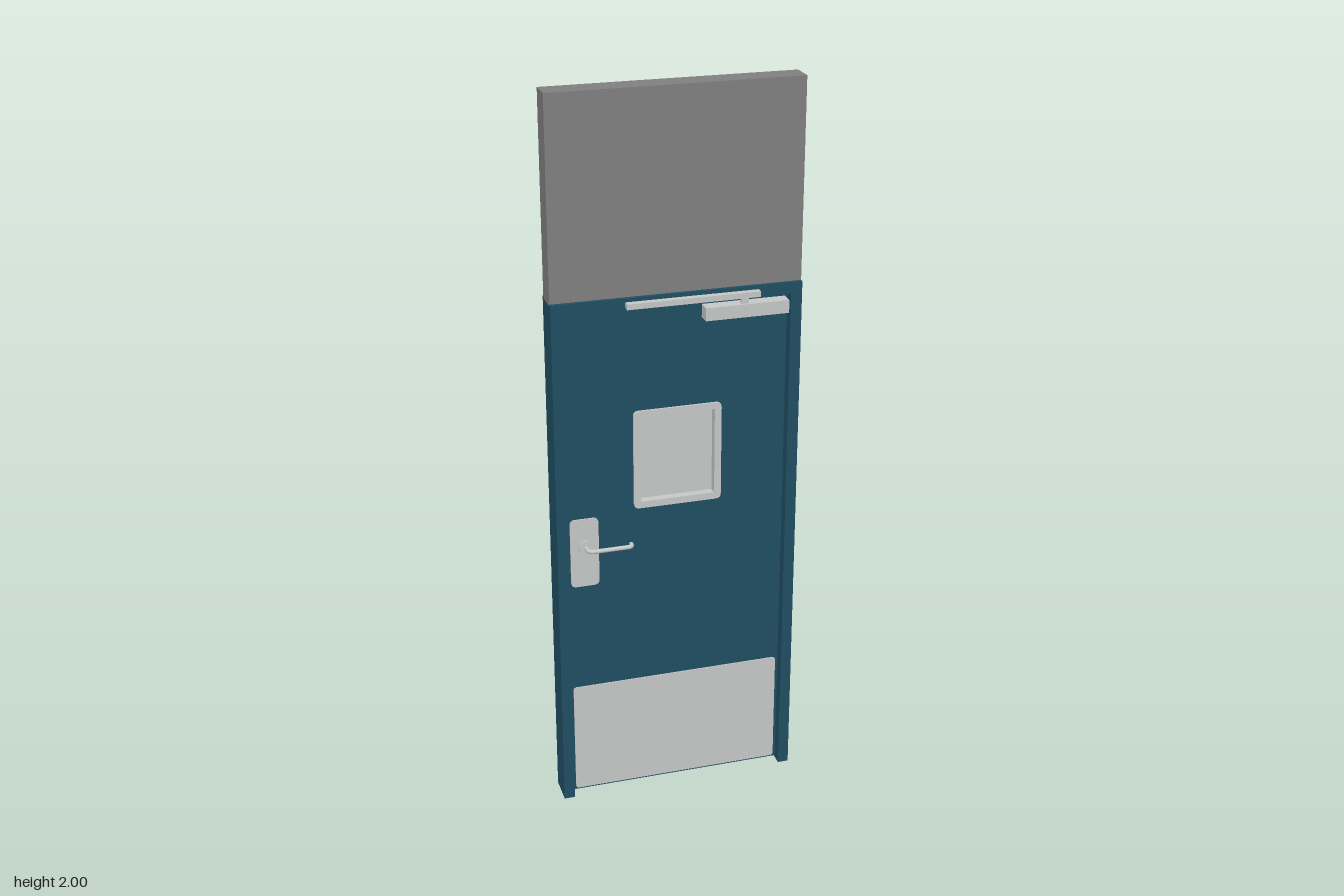
import * as THREE from 'three';

const wallGrey = new THREE.MeshStandardMaterial({ color: 0x808080 });
wallGrey.name = 'wallGrey';
const doorBlue = new THREE.MeshStandardMaterial({ color: 0x1f4e63 });
doorBlue.name = 'doorBlue';
const steel = new THREE.MeshStandardMaterial({ color: 0xc6c8c7 });
steel.name = 'steel';

function add(parent, name, geometry, material) {
  const mesh = new THREE.Mesh(geometry, material);
  mesh.name = name;
  parent.add(mesh);
  return mesh;
}

// Box given by its limits on each axis
function box(x0, x1, y0, y1, z0, z1) {
  return new THREE.BoxGeometry(x1 - x0, y1 - y0, z1 - z0)
    .translate((x0 + x1) / 2, (y0 + y1) / 2, (z0 + z1) / 2);
}

// Outline of a rectangle with rounded corners
function roundedRect(x0, x1, y0, y1, r, Type = THREE.Shape) {
  const s = new Type();
  s.moveTo(x0 + r, y0);
  s.lineTo(x1 - r, y0);
  s.quadraticCurveTo(x1, y0, x1, y0 + r);
  s.lineTo(x1, y1 - r);
  s.quadraticCurveTo(x1, y1, x1 - r, y1);
  s.lineTo(x0 + r, y1);
  s.quadraticCurveTo(x0, y1, x0, y1 - r);
  s.lineTo(x0, y0 + r);
  s.quadraticCurveTo(x0, y0, x0 + r, y0);
  return s;
}

// Rectangle outline with sharp corners
function rect(x0, x1, y0, y1, Type = THREE.Shape) {
  return new Type([[x0, y0], [x1, y0], [x1, y1], [x0, y1]].map(([x, y]) => new THREE.Vector2(x, y)));
}

function slab(shape, z0, z1) {
  return new THREE.ExtrudeGeometry(shape, { depth: z1 - z0, bevelEnabled: false, curveSegments: 5 })
    .translate(0, 0, z0);
}

// Jambs and header as one arch with an open bottom
function arch(halfOpening, openingTop, z0, z1) {
  const w = 0.333, h = 1.47;
  const points = [[-w, 0], [-halfOpening, 0], [-halfOpening, openingTop], [halfOpening, openingTop],
    [halfOpening, 0], [w, 0], [w, h], [-w, h]];
  return slab(new THREE.Shape(points.map(([x, y]) => new THREE.Vector2(x, y))), z0, z1);
}

// Lever handle bent out from the door and back at its free end
function lever(side, reach) {
  const p = (x, z) => new THREE.Vector3(x, 0.777, side * z);
  const path = new THREE.CurvePath();
  path.add(new THREE.LineCurve3(p(-0.252, 0.02), p(-0.252, reach - 0.016)));
  path.add(new THREE.QuadraticBezierCurve3(p(-0.252, reach - 0.016), p(-0.251, reach), p(-0.235, reach)));
  path.add(new THREE.LineCurve3(p(-0.235, reach), p(-0.142, reach)));
  path.add(new THREE.QuadraticBezierCurve3(p(-0.142, reach), p(-0.131, reach), p(-0.131, reach - 0.016)));
  return new THREE.TubeGeometry(path, 48, 0.006, 10, false);
}

export function createModel() {
  const model = new THREE.Group();
  model.name = 'door';

  // Wall panel above the frame
  add(model, 'wallPanel', box(-0.333, 0.333, 1.465, 2, -0.036, 0.03), wallGrey);

  // Rebated frame: wider opening in front, narrower stop behind
  const frame = new THREE.Group();
  frame.name = 'frame';
  model.add(frame);
  add(frame, 'frontFrame', arch(0.303, 1.44, -0.022, 0.04), doorBlue);
  add(frame, 'doorStop', arch(0.287, 1.42, -0.043, -0.022), doorBlue);

  // Door leaf with a window opening
  const leaf = rect(-0.3, 0.3, 0.012, 1.436);
  leaf.holes.push(rect(-0.1, 0.105, 0.89, 1.135, THREE.Path));
  add(model, 'doorLeaf', slab(leaf, -0.021, 0.02), doorBlue);

  // Window trim passing through the leaf, and the pane
  const trim = roundedRect(-0.118, 0.123, 0.872, 1.152, 0.015);
  trim.holes.push(rect(-0.099, 0.104, 0.891, 1.134, THREE.Path));
  add(model, 'windowTrim', slab(trim, -0.026, 0.026), steel);
  add(model, 'windowPane', box(-0.1, 0.105, 0.89, 1.135, -0.003, 0.003), steel);

  // Fittings on both faces
  for (const [side, face, reach, label] of [[1, 0.02, 0.056, 'front'], [-1, 0.021, 0.059, 'back']]) {
    const plate = (shape, t) => slab(shape, side > 0 ? face : -face - t, side > 0 ? face + t : -face);
    add(model, label + 'KickPlate', plate(roundedRect(-0.295, 0.292, 0.017, 0.346, 0.01), 0.003), steel);
    add(model, label + 'LockPlate', plate(roundedRect(-0.294, -0.216, 0.66, 0.86, 0.015), 0.004), steel);
    const rose = new THREE.CylinderGeometry(0.02, 0.02, 0.008, 24).rotateX(Math.PI / 2);
    add(model, label + 'HandleRose', rose, steel).position.set(-0.252, 0.777, side * (face + 0.006));
    add(model, label + 'Handle', lever(side, reach), steel);
    const cap = new THREE.CylinderGeometry(0.006, 0.006, 0.002, 10).rotateX(Math.PI / 2);
    add(model, label + 'HandleEnd', cap, steel).position.set(-0.131, 0.777, side * (reach - 0.016));
  }

  // Door closer: body on the leaf, slide rail on the header, short link
  add(model, 'closerBody', box(0.068, 0.293, 1.393, 1.428, 0.02, 0.056), steel);
  add(model, 'closerRail', box(-0.14, 0.214, 1.445, 1.46, 0.035, 0.058), steel);
  add(model, 'closerLink', box(0.165, 0.185, 1.425, 1.447, 0.042, 0.05), steel);

  return model;
}
